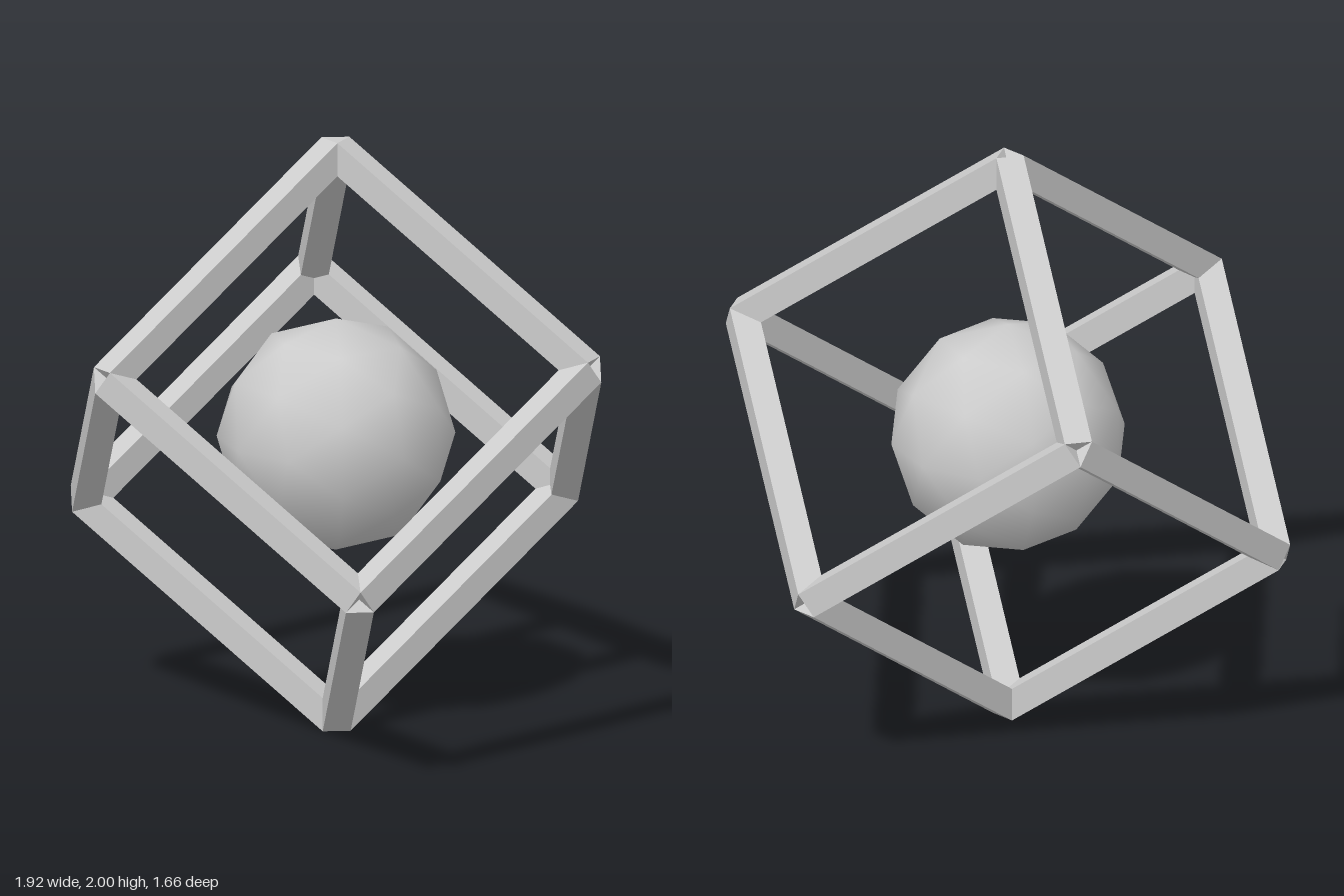
import * as THREE from 'three';

const EDGE = 1.112;   // cube edge length
const BAR = 0.092;    // bar thickness

export function createModel() {
  const model = new THREE.Group();
  model.name = 'cubeFrameWithBall';
  const material = new THREE.MeshStandardMaterial({ color: 0xcccccc });

  // Three perpendicular cube axes, with the cube diagonal upright
  const axes = [0, 1, 2].map((k) => {
    const angle = (k * 2 * Math.PI) / 3;
    const r = Math.sqrt(2 / 3);
    return new THREE.Vector3(r * Math.cos(angle), Math.sqrt(1 / 3), r * Math.sin(angle));
  });

  // Twelve square bars, each with one flat side facing away from the centre
  const frame = new THREE.Group();
  frame.name = 'cubeFrame';
  frame.position.y = 1;
  const barGeometry = new THREE.BoxGeometry(BAR, EDGE, BAR);
  for (let k = 0; k < 3; k++) {
    const along = axes[k];
    for (const i of [-1, 1]) {
      for (const j of [-1, 1]) {
        const outward = new THREE.Vector3()
          .addScaledVector(axes[(k + 1) % 3], i)
          .addScaledVector(axes[(k + 2) % 3], j)
          .normalize();
        const across = new THREE.Vector3().crossVectors(along, outward);
        const bar = new THREE.Mesh(barGeometry, material);
        bar.name = 'frameBar';
        bar.quaternion.setFromRotationMatrix(new THREE.Matrix4().makeBasis(across, along, outward));
        bar.position.copy(outward).multiplyScalar(EDGE / Math.SQRT2);
        frame.add(bar);
      }
    }
  }
  model.add(frame);

  // Smooth-shaded faceted ball floating in the middle
  const ball = new THREE.Mesh(new THREE.IcosahedronGeometry(0.392, 1), material);
  ball.name = 'ball';
  ball.position.y = 1;
  model.add(ball);

  return model;
}
